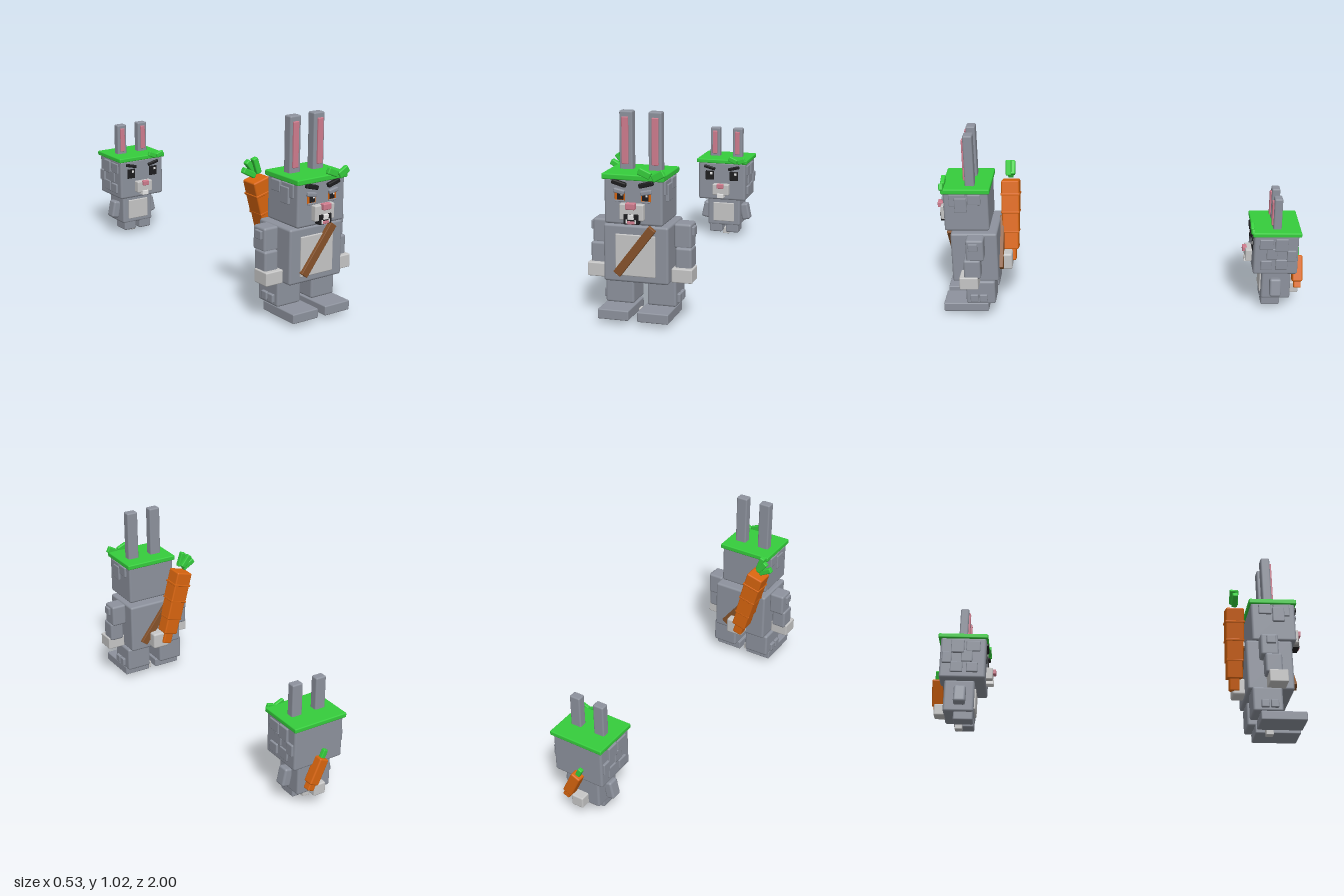
import * as THREE from 'three';
import { RoundedBoxGeometry } from 'three/addons/geometries/RoundedBoxGeometry.js';

const paint = (name, color) => Object.assign(new THREE.MeshStandardMaterial({ color }), { name });

export function createModel() {
  const model = new THREE.Group();
  model.name = 'rabbitPair';
  const fur = paint('grey fur', 0x8d929d), pale = paint('pale fur', 0xc6c6c6);
  const green = paint('leaf green', 0x35cd3c), orange = paint('carrot orange', 0xd8650f);
  const brown = paint('leather brown', 0x86522a), pink = paint('pink', 0xd07c8e);
  const black = paint('black', 0x1d1d1f), white = paint('white', 0xf0f0f0);

  // Rounded block spanning [x0,x1] [y0,y1] [z0,z1], optionally turned about z
  const block = (parent, name, mat, [x0, x1], [y0, y1], [z0, z1], turn = 0, r = 0.012) => {
    const w = x1 - x0, h = y1 - y0, d = z1 - z0;
    const radius = Math.min(r, Math.min(w, h, d) * 0.3);
    const mesh = new THREE.Mesh(new RoundedBoxGeometry(w, h, d, 2, radius), mat);
    mesh.name = name;
    mesh.position.set((x0 + x1) / 2, (y0 + y1) / 2, (z0 + z1) / 2);
    mesh.rotation.z = turn;
    parent.add(mesh);
    return mesh;
  };
  // Block given by its centre and size in x and y
  const slab = (parent, name, mat, x, y, w, h, z, turn = 0, r = 0.006) =>
    block(parent, name, mat, [x - w / 2, x + w / 2], [y - h / 2, y + h / 2], z, turn, r);
  // The same block on both sides of the body
  const pair = (parent, name, mat, [x0, x1], y, z, turn = 0, r = 0.012) => {
    block(parent, name + 'Left', mat, [x0, x1], y, z, turn, r);
    block(parent, name + 'Right', mat, [-x1, -x0], y, z, -turn, r);
  };
  const group = (name) => {
    const g = new THREE.Group();
    g.name = name;
    model.add(g);
    return g;
  };

  // ---------- Large rabbit ----------
  const big = group('largeRabbit');
  block(big, 'head', fur, [-0.145, 0.145], [0.495, 0.72], [0.71, 0.95]);
  block(big, 'leafCap', green, [-0.155, 0.155], [0.712, 0.74], [0.70, 0.96], 0, 0.006);
  pair(big, 'ear', fur, [0.04, 0.106], [0.73, 1.022], [0.785, 0.835], 0, 0.008);
  pair(big, 'innerEar', pink, [0.059, 0.092], [0.765, 0.995], [0.83, 0.845], 0, 0.004);
  slab(big, 'capLeafInner', green, 0.06, 0.75, 0.065, 0.035, [0.945, 0.968], -0.4);
  slab(big, 'capLeafOuter', green, 0.127, 0.742, 0.065, 0.038, [0.945, 0.968], 0.5);

  // Face
  for (const s of [-1, 1]) {
    slab(big, 'eyebrow', black, s * 0.067, 0.697, 0.074, 0.023, [0.945, 0.968], s * 0.27);
    slab(big, 'iris', orange, s * 0.065, 0.633, 0.05, 0.04, [0.945, 0.954], 0, 0.002);
    slab(big, 'pupil', black, s * 0.062, 0.633, 0.032, 0.032, [0.948, 0.957], 0, 0.002);
    slab(big, 'eyeGlint', white, s * 0.062 + 0.008, 0.641, 0.01, 0.008, [0.951, 0.96], 0, 0.002);
    slab(big, 'upperEyelid', fur, s * 0.067, 0.658, 0.056, 0.022, [0.945, 0.966], s * 0.2);
    slab(big, 'lowerEyelid', fur, s * 0.065, 0.611, 0.045, 0.009, [0.945, 0.96]);
  }
  block(big, 'muzzle', pale, [-0.06, 0.06], [0.524, 0.603], [0.94, 0.98], 0, 0.006);
  block(big, 'nose', pink, [-0.024, 0.024], [0.58, 0.612], [0.97, 1.0], 0, 0.005);
  block(big, 'mouth', black, [-0.037, 0.037], [0.506, 0.556], [0.945, 0.985], 0, 0.002);
  block(big, 'frontTeeth', white, [-0.015, 0.015], [0.53, 0.556], [0.975, 0.992], 0, 0.003);
  block(big, 'tongue', pink, [-0.018, 0.018], [0.508, 0.523], [0.975, 0.99], 0, 0.003);
  pair(big, 'lowerTooth', white, [0.018, 0.025], [0.51, 0.53], [0.975, 0.988], 0, 0.002);
  // Fur tufts on the cheeks
  pair(big, 'cheekTuftFront', fur, [0.13, 0.152], [0.64, 0.71], [0.83, 0.92], 0, 0.005);
  pair(big, 'cheekTuftMiddle', fur, [0.13, 0.158], [0.605, 0.69], [0.825, 0.89], 0, 0.005);
  pair(big, 'cheekTuftRear', fur, [0.13, 0.156], [0.65, 0.708], [0.75, 0.82], 0, 0.005);

  // Body and strap
  block(big, 'torso', fur, [-0.163, 0.163], [0.2, 0.485], [0.67, 0.92]);
  block(big, 'belly', pale, [-0.1, 0.1], [0.235, 0.44], [0.9, 0.928], 0, 0.004);
  slab(big, 'strapFront', brown, 0, 0.362, 0.295, 0.042, [0.92, 0.945], 0.918, 0.003);
  slab(big, 'strapBack', brown, 0, 0.362, 0.295, 0.042, [0.65, 0.675], -0.918, 0.003);
  block(big, 'tail', pale, [-0.05, 0.05], [0.215, 0.31], [0.605, 0.68]);

  // Arms and legs
  pair(big, 'upperArm', fur, [0.163, 0.25], [0.362, 0.485], [0.735, 0.83]);
  pair(big, 'shoulderTuft', fur, [0.235, 0.263], [0.425, 0.47], [0.765, 0.815], 0, 0.005);
  pair(big, 'lowerArm', fur, [0.174, 0.256], [0.26, 0.37], [0.755, 0.845]);
  pair(big, 'hand', pale, [0.163, 0.266], [0.202, 0.272], [0.77, 0.87], 0, 0.006);
  pair(big, 'leg', fur, [0.034, 0.18], [0.07, 0.207], [0.69, 0.85]);
  pair(big, 'legTuftFront', fur, [0.17, 0.195], [0.088, 0.132], [0.783, 0.825], 0, 0.005);
  pair(big, 'legTuftRear', fur, [0.17, 0.195], [0.088, 0.132], [0.733, 0.775], 0, 0.005);
  pair(big, 'foot', fur, [0.022, 0.178], [0.023, 0.073], [0.73, 0.975], 0, 0.006);
  block(big, 'footPeg', pale, [-0.02, 0.02], [0, 0.04], [0.78, 0.82], 0, 0.003);

  // Carrot slung on the back: axis runs down local y from the crown
  const carrot = new THREE.Group();
  carrot.name = 'largeCarrot';
  carrot.position.set(-0.145, 0.675, 0.615);
  carrot.rotation.z = 0.262;
  big.add(carrot);
  [[0.098, 0, 0.08], [0.098, 0.07, 0.18], [0.092, 0.17, 0.29], [0.085, 0.28, 0.385], [0.055, 0.37, 0.45]]
    .forEach(([w, top, bottom], i) => {
      block(carrot, 'carrotSection' + i, orange, [-w / 2, w / 2], [-bottom, -top], [-w / 2, w / 2], 0, 0.008);
      const b = w / 2 + 0.004;
      if (i > 0 && i < 4) block(carrot, 'carrotRing' + i, orange, [-b, b], [-top - 0.012, -top], [-b, b], 0, 0.003);
    });
  slab(big, 'carrotLeafLow', green, -0.19, 0.709, 0.08, 0.03, [0.60, 0.63], -0.5);
  slab(big, 'carrotLeafMiddle', green, -0.172, 0.735, 0.08, 0.03, [0.59, 0.62], -0.9);
  slab(big, 'carrotLeafTop', green, -0.152, 0.743, 0.085, 0.03, [0.61, 0.64], -1.25);

  // ---------- Small rabbit ----------
  const small = group('smallRabbit');
  block(small, 'head', fur, [-0.145, 0.145], [0.24, 0.47], [-0.957, -0.715]);
  block(small, 'leafCap', green, [-0.155, 0.155], [0.465, 0.49], [-0.97, -0.707], 0, 0.006);
  pair(small, 'ear', fur, [0.04, 0.1], [0.48, 0.665], [-0.865, -0.82], 0, 0.008);
  pair(small, 'innerEar', pink, [0.056, 0.084], [0.505, 0.645], [-0.825, -0.811], 0, 0.004);
  slab(small, 'capLeafInner', green, 0.07, 0.488, 0.055, 0.03, [-0.72, -0.7], -0.4);
  slab(small, 'capLeafOuter', green, 0.122, 0.485, 0.05, 0.03, [-0.72, -0.7], 0.35);
  for (const s of [-1, 1]) {
    slab(small, 'eyebrow', black, s * 0.075, 0.438, 0.07, 0.018, [-0.72, -0.704], s * 0.25);
    slab(small, 'eye', black, s * 0.075, 0.39, 0.05, 0.056, [-0.72, -0.711], 0, 0.002);
    slab(small, 'eyeGlint', white, s * 0.075 + 0.01, 0.402, 0.014, 0.014, [-0.716, -0.708], 0, 0.002);
  }
  block(small, 'muzzle', pale, [-0.05, 0.05], [0.275, 0.342], [-0.73, -0.68], 0, 0.006);
  block(small, 'nose', pink, [-0.02, 0.02], [0.318, 0.346], [-0.69, -0.665], 0, 0.004);
  block(small, 'frontTeeth', white, [-0.02, 0.02], [0.258, 0.285], [-0.72, -0.675], 0, 0.003);
  // Fur tufts scattered over the cheeks: [y0, y1, z0, z1]
  [[0.39, 0.45, -0.82, -0.745], [0.38, 0.455, -0.9, -0.83], [0.33, 0.395, -0.845, -0.785],
    [0.27, 0.325, -0.815, -0.755], [0.27, 0.33, -0.9, -0.835], [0.32, 0.385, -0.945, -0.895]]
    .forEach(([y0, y1, z0, z1], i) =>
      pair(small, 'cheekTuft' + i, fur, [0.13, 0.152 + (i % 2) * 0.004], [y0, y1], [z0, z1], 0, 0.005));

  block(small, 'torso', fur, [-0.1, 0.1], [0.068, 0.245], [-0.93, -0.77]);
  block(small, 'belly', pale, [-0.065, 0.065], [0.095, 0.21], [-0.78, -0.762], 0, 0.004);
  pair(small, 'arm', fur, [0.095, 0.145], [0.1, 0.2], [-0.875, -0.812], 0.2);
  pair(small, 'foot', fur, [0.012, 0.09], [0.024, 0.08], [-0.875, -0.772], 0, 0.008);
  block(small, 'footPeg', pale, [-0.02, 0.02], [0, 0.04], [-0.868, -0.83], 0, 0.003);
  block(small, 'tail', pale, [-0.035, 0.035], [0.07, 0.135], [-0.982, -0.92], 0, 0.008);

  // Small carrot on the back
  const snack = new THREE.Group();
  snack.name = 'smallCarrot';
  snack.position.set(0.025, 0.205, -0.972);
  snack.rotation.z = 0.43;
  small.add(snack);
  block(snack, 'carrotTop', orange, [-0.028, 0.028], [-0.06, 0.085], [-0.028, 0.028], 0, 0.008);
  block(snack, 'carrotTip', orange, [-0.02, 0.02], [-0.095, -0.05], [-0.02, 0.02], 0, 0.006);
  block(snack, 'carrotLeaf', green, [-0.013, 0.013], [0.08, 0.13], [-0.012, 0.012], 0, 0.005);

  return model;
}
